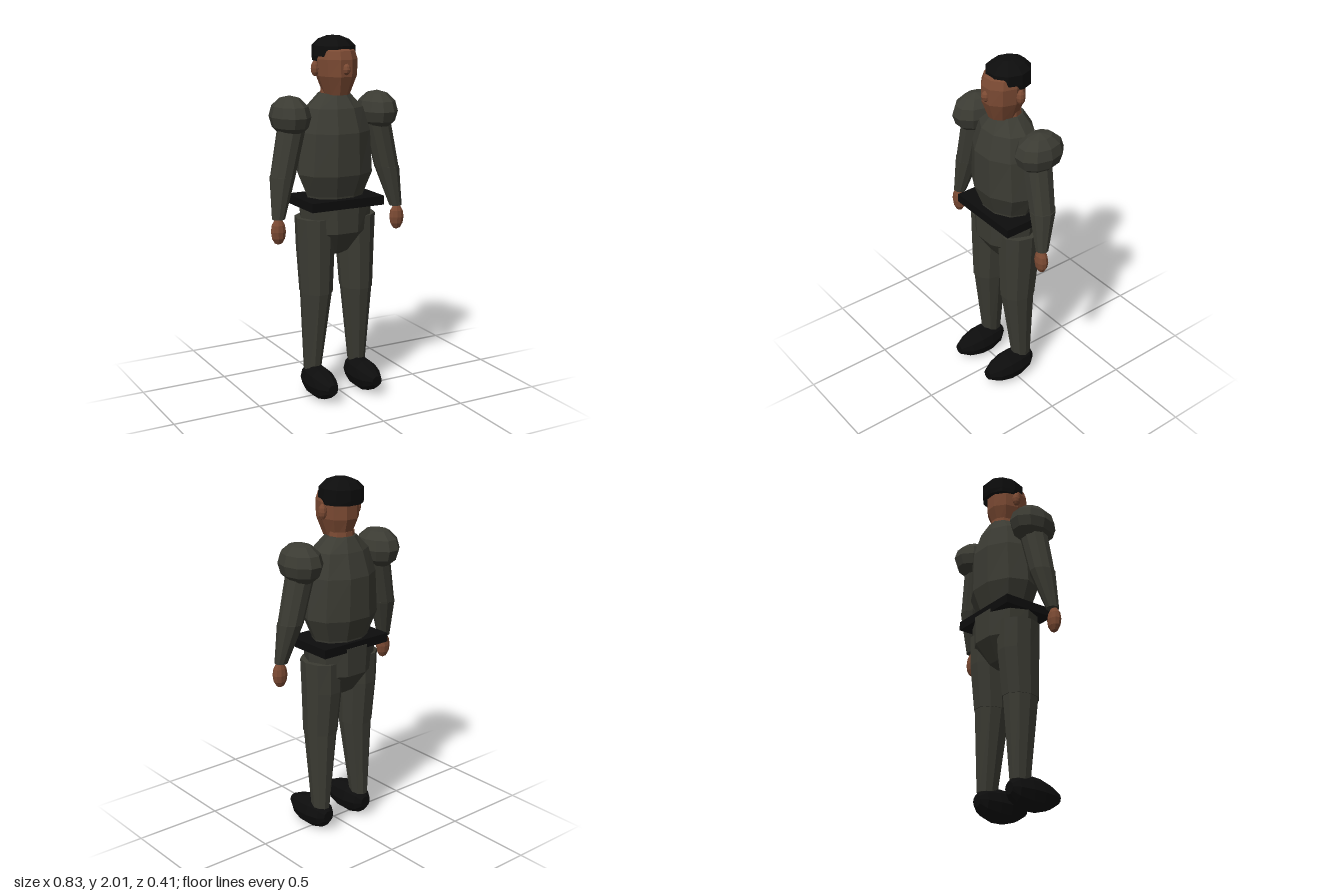
import * as THREE from 'three';

const SIDES = 10;
const DEPTH = Math.sin(Math.PI * 0.3); // a ten-sided ring is flat at front and back

// Faceted solid from rings [y, half width, half depth, centre x, centre z], bottom to top
function loft(rings) {
  const pos = [];
  const idx = [];
  for (const [y, rx, rz, cx = 0, cz = 0] of rings) {
    for (let i = 0; i < SIDES; i++) {
      const a = (i / SIDES) * Math.PI * 2;
      pos.push(cx + rx * Math.cos(a), y, cz + (rz / DEPTH) * Math.sin(a));
    }
  }
  const n = rings.length;
  for (let k = 0; k < n - 1; k++) {
    for (let i = 0; i < SIDES; i++) {
      const j = (i + 1) % SIDES;
      const a = k * SIDES, b = a + SIDES;
      idx.push(a + i, b + i, a + j, b + i, b + j, a + j);
    }
  }
  const top = (n - 1) * SIDES;
  for (let i = 1; i < SIDES - 1; i++) {
    idx.push(0, i, i + 1, top, top + i + 1, top + i);
  }
  const g = new THREE.BufferGeometry();
  g.setAttribute('position', new THREE.Float32BufferAttribute(pos, 3));
  g.setIndex(idx);
  return facet(g);
}

function facet(g) {
  const f = g.index ? g.toNonIndexed() : g;
  f.computeVertexNormals();
  return f;
}

// Low-poly ellipsoid
function ball(rx, ry, rz, rows = 6) {
  return facet(new THREE.SphereGeometry(1, SIDES, rows).scale(rx, ry, rz / DEPTH));
}

export function createModel() {
  const mat = (name, color) => {
    const m = new THREE.MeshStandardMaterial({ color });
    m.name = name;
    return m;
  };
  const cloth = mat('olive cloth', 0x3b3b33);
  const skin = mat('skin', 0x7b4a33);
  const black = mat('black', 0x0d0d0d);

  const model = new THREE.Group();
  model.name = 'figure';
  const add = (name, geometry, material, x = 0, y = 0, z = 0) => {
    const m = new THREE.Mesh(geometry, material);
    m.name = name;
    m.position.set(x, y, z);
    model.add(m);
    return m;
  };

  // Head, neck and face
  add('head', loft([
    [1.69, 0.068, 0.07, 0, -0.03], [1.79, 0.107, 0.1, 0, -0.03],
    [1.88, 0.112, 0.1, 0, -0.03], [1.925, 0.1, 0.09, 0, -0.033],
    [1.955, 0.07, 0.06, 0, -0.045],
  ]), skin);
  add('neck', loft([[1.64, 0.08, 0.062, 0, -0.057], [1.72, 0.073, 0.058, 0, -0.057]]), skin);
  add('nose', ball(0.025, 0.034, 0.03), skin, 0, 1.83, 0.073);
  add('hair', loft([
    [1.868, 0.114, 0.085, 0, -0.072], [1.895, 0.118, 0.1, 0, -0.06],
    [1.95, 0.116, 0.1, 0, -0.06], [1.982, 0.082, 0.075, 0, -0.06],
    [2.0, 0.036, 0.034, 0, -0.06],
  ]), black);

  // Body
  add('torso', loft([
    [1.09, 0.16, 0.1, 0, -0.05], [1.14, 0.17, 0.105, 0, -0.05],
    [1.26, 0.222, 0.14, 0, -0.05], [1.49, 0.205, 0.14, 0, -0.05],
    [1.62, 0.165, 0.108, 0, -0.05], [1.695, 0.085, 0.07, 0, -0.055],
  ]), cloth);
  add('belt', new THREE.BoxGeometry(0.444, 0.05, 0.31), black, 0, 1.105, -0.04);
  add('pelvis', loft([
    [0.8, 0.03, 0.03, 0, -0.045], [0.825, 0.1, 0.065, 0, -0.045],
    [0.94, 0.2, 0.128, 0, -0.045], [1.1, 0.22, 0.13, 0, -0.045],
  ]), cloth);

  for (const s of [1, -1]) {
    const side = s > 0 ? 'left' : 'right';

    add(side + 'Ear', ball(0.022, 0.042, 0.02), skin, s * 0.118, 1.83, -0.05);

    // Arm
    add(side + 'Shoulder', ball(0.107, 0.112, 0.115), cloth, s * 0.269, 1.582, -0.052);
    add(side + 'UpperArm', loft([
      [1.26, 0.068, 0.057, s * 0.325, -0.034], [1.55, 0.078, 0.066, s * 0.258, -0.045],
    ]), cloth);
    add(side + 'Forearm', loft([
      [1.04, 0.036, 0.028, s * 0.368, -0.002], [1.265, 0.07, 0.059, s * 0.326, -0.034],
    ]), cloth);
    add(side + 'Hand', ball(0.044, 0.073, 0.027), skin, s * 0.372, 0.973, 0.004);

    // Leg
    add(side + 'Thigh', loft([
      [0.595, 0.09, 0.086, s * 0.127, -0.034], [0.85, 0.103, 0.1, s * 0.125, -0.045],
      [1.02, 0.113, 0.102, s * 0.123, -0.045],
    ]), cloth);
    add(side + 'Shin', loft([
      [0.135, 0.046, 0.049, s * 0.143, -0.052], [0.605, 0.087, 0.083, s * 0.127, -0.034],
    ]), cloth);

    // Shoe, lofted upright and laid forward
    const shoe = loft([
      [-0.12, 0.033, 0.028, 0, -0.085], [-0.085, 0.062, 0.058, 0, -0.082],
      [-0.01, 0.078, 0.074, 0, -0.078], [0.06, 0.078, 0.072, 0, -0.076],
      [0.13, 0.064, 0.055, 0, -0.076], [0.194, 0.03, 0.025, 0, -0.082],
    ]).rotateX(Math.PI / 2);
    add(side + 'Shoe', shoe, black, s * 0.14, 0, 0);
  }
  return model;
}
